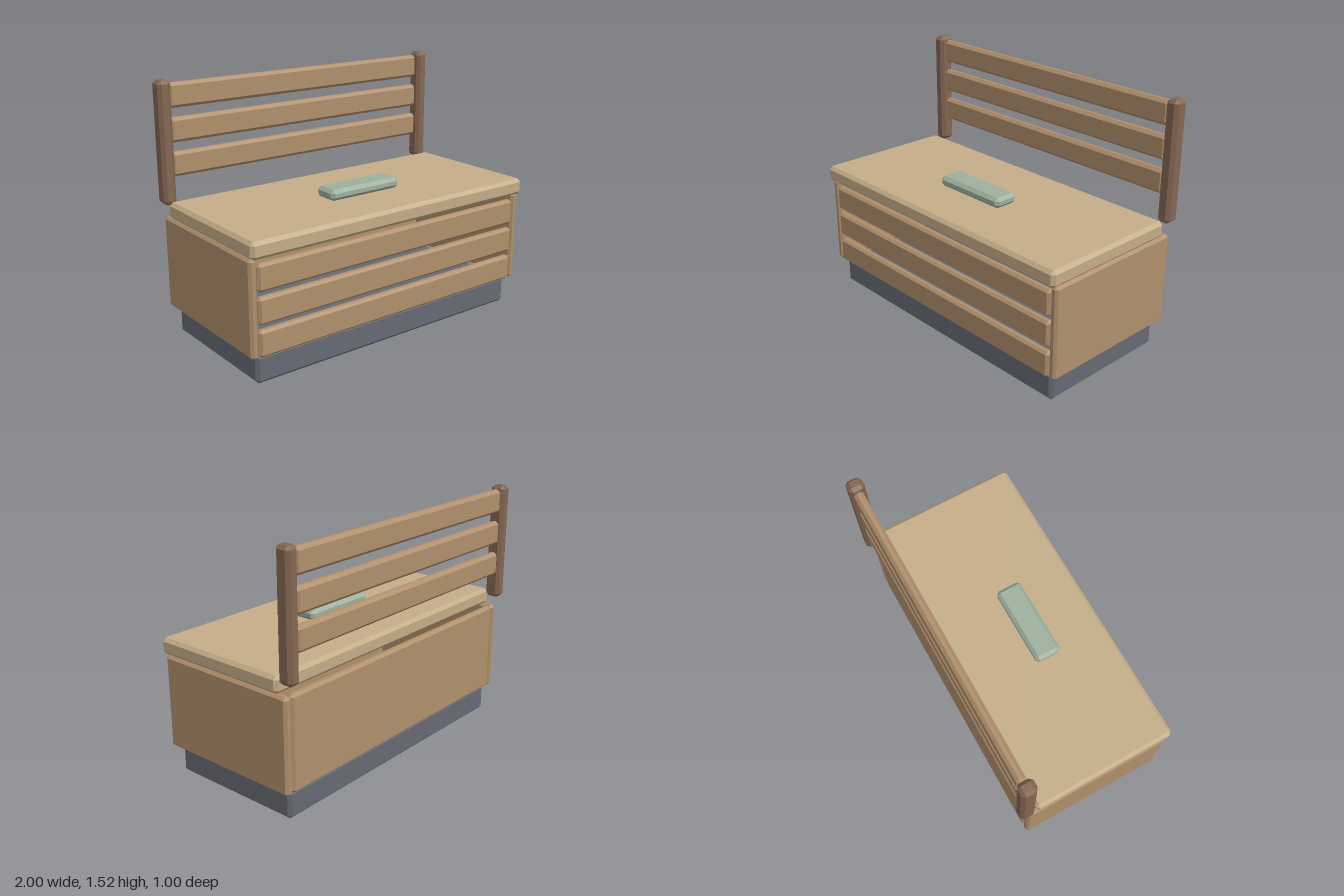
import * as THREE from 'three';
import { ConvexGeometry } from 'three/addons/geometries/ConvexGeometry.js';

const mat = (color) => new THREE.MeshStandardMaterial({ color, flatShading: true });

// Box with chamfered edges, given by its [min, max] range on each axis
function chamferBox(name, material, xr, yr, zr, bevel) {
  const ranges = [xr, yr, zr];
  const half = ranges.map(([a, b]) => (b - a) / 2);
  const mid = ranges.map(([a, b]) => (a + b) / 2);
  const points = [];
  for (const sx of [-1, 1]) for (const sy of [-1, 1]) for (const sz of [-1, 1]) {
    const sign = [sx, sy, sz];
    // each corner becomes three points, one on each adjoining face
    for (let face = 0; face < 3; face++) {
      const p = half.map((h, i) => sign[i] * (i === face ? h : h - bevel));
      points.push(new THREE.Vector3(...p));
    }
  }
  const mesh = new THREE.Mesh(new ConvexGeometry(points), material);
  mesh.name = name;
  mesh.position.set(...mid);
  return mesh;
}

export function createModel() {
  const group = new THREE.Group();
  group.name = 'storageBench';
  const wood = mat(0xb08f6c);
  const darkWood = mat(0x836652);
  const lidWood = mat(0xc4ad88);
  const plinthGrey = mat(0x666a74);
  const handleGreen = mat(0x9fb09e);

  // Plinth, back panel, lid and handle
  group.add(
    chamferBox('plinth', plinthGrey, [-0.94, 0.94], [0, 0.17], [-0.42, 0.44], 0.02),
    chamferBox('backPanel', wood, [-0.94, 0.94], [0.17, 0.73], [-0.45, -0.4], 0.015),
    chamferBox('lid', lidWood, [-0.99, 0.99], [0.73, 0.83], [-0.39, 0.505], 0.02),
    chamferBox('handle', handleGreen, [-0.25, 0.25], [0.83, 0.895], [0.03, 0.19], 0.02),
  );

  // Side panels and backrest posts, mirrored
  for (const [side, s] of [['left', 1], ['right', -1]]) {
    const span = (a, b) => (s > 0 ? [a, b] : [-b, -a]);
    group.add(
      chamferBox(side + 'SidePanel', wood, span(0.94, 0.99), [0.17, 0.73], [-0.45, 0.475], 0.015),
      chamferBox(side + 'BackrestPost', darkWood, span(0.92, 1), [0.8, 1.52], [-0.5, -0.405], 0.02),
    );
  }

  // Three front slats and three backrest slats
  for (let i = 0; i < 3; i++) {
    const yFront = 0.17 + i * 0.185;
    const yBack = 0.955 + i * 0.2;
    group.add(
      chamferBox('frontSlat' + (i + 1), wood, [-0.94, 0.94], [yFront, yFront + 0.155], [0.43, 0.48], 0.015),
      chamferBox('backrestSlat' + (i + 1), wood, [-0.925, 0.925], [yBack, yBack + 0.145], [-0.485, -0.43], 0.018),
    );
  }
  return group;
}
